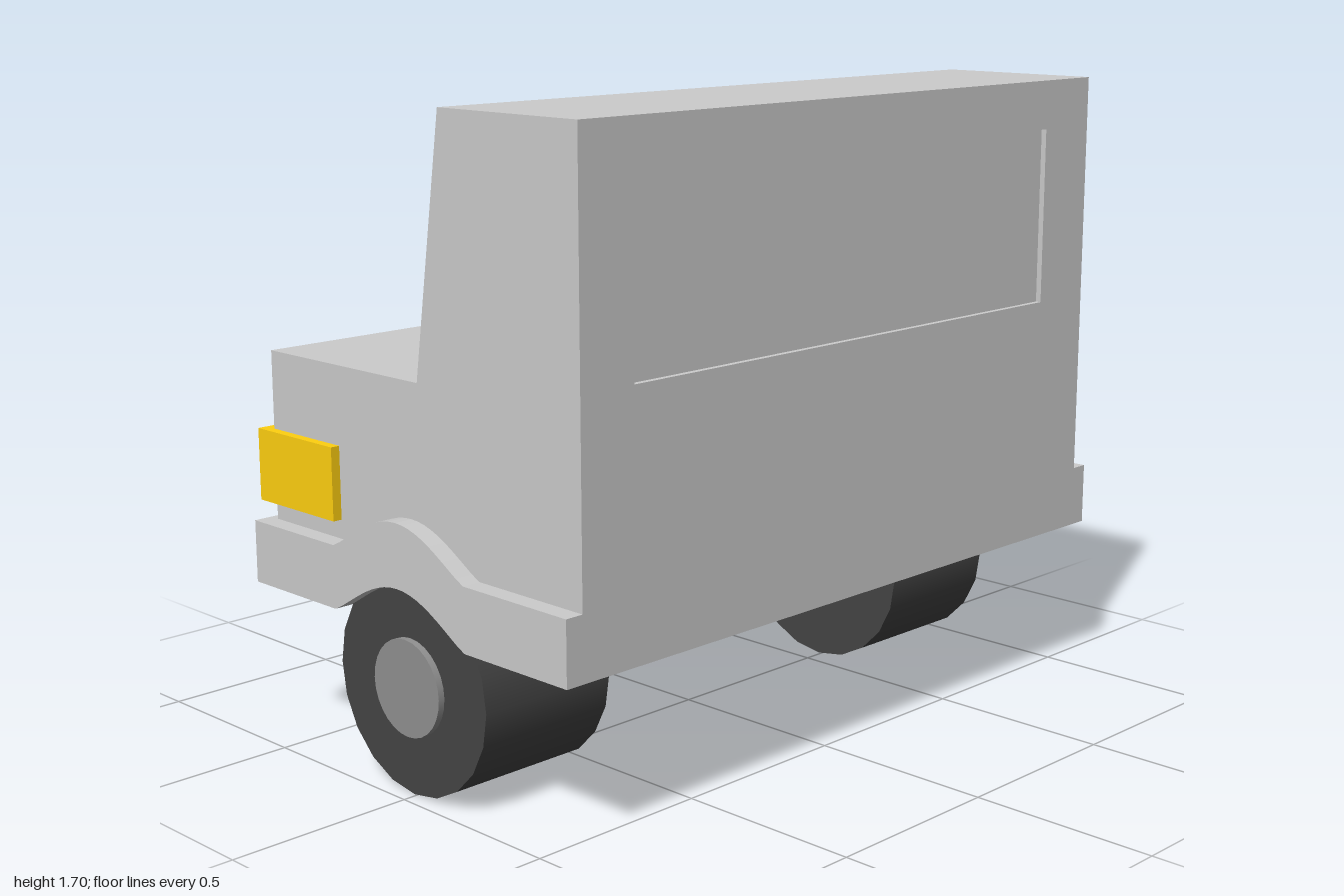
import * as THREE from 'three';

const mat = (color) => new THREE.MeshStandardMaterial({ color });

export function createModel() {
  const model = new THREE.Group();
  const grey = mat(0xcccccc), amber = mat(0xffd010), rubber = mat(0x444444), steel = mat(0x909090);

  const add = (name, geometry, material = grey) => {
    const mesh = new THREE.Mesh(geometry, material);
    mesh.name = name;
    model.add(mesh);
    return mesh;
  };
  const box = (name, [x0, x1], [y0, y1], [z0, z1], material) =>
    add(name, new THREE.BoxGeometry(x1 - x0, y1 - y0, z1 - z0), material)
      .position.set((x0 + x1) / 2, (y0 + y1) / 2, (z0 + z1) / 2);

  // Side profile given as [z, y], extruded across x
  const across = (points, x0, x1, hole) => {
    const flip = (list) => list.map(([z, y]) => new THREE.Vector2(-z, y));
    const shape = new THREE.Shape(flip(points));
    if (hole) shape.holes.push(new THREE.Path(flip(hole)));
    return new THREE.ExtrudeGeometry(shape, { depth: x1 - x0, bevelEnabled: false })
      .rotateY(Math.PI / 2).translate(x0, 0, 0);
  };
  // Rectangle in x and y with a window hole, extruded a little along z
  const rect = (x0, x1, y0, y1) =>
    [[x0, y0], [x1, y0], [x1, y1], [x0, y1]].map(([x, y]) => new THREE.Vector2(x, y));
  const framed = (y0, depth) => {
    const shape = new THREE.Shape(rect(-0.91, 0.91, y0, 1.7));
    shape.holes.push(new THREE.Path(rect(-0.785, 0.76, 1.1, 1.57)));
    return new THREE.ExtrudeGeometry(shape, { depth, bevelEnabled: false });
  };

  // Cab core, whose faces form the sunken windows
  const inset = 0.015;
  const profile = (d) => [
    [0.6 - d, 0.6], [0.6 - d, 1.7], [0.13 + d, 1.7], [0.03 + d, 1.045], [-0.56, 1.045], [-0.56, 0.6],
  ];
  add('cabCore', across(profile(inset), -0.91, 0.91));

  // Side panels with window openings
  const sideWindow = [[0.545, 1.57], [0.165, 1.57], [0.095, 1.1], [0.545, 1.1]];
  add('leftPanel', across(profile(0), 0.91, 0.95, sideWindow));
  add('rightPanel', across(profile(0), -0.95, -0.91, sideWindow));

  // Flat end panel and sloped panel, each with a wide window opening
  add('frontPanel', framed(0.6, inset).translate(0, 0, 0.6 - inset));
  const sloped = framed(1.045, inset);
  const p = sloped.attributes.position;
  for (let i = 0; i < p.count; i++) {
    p.setZ(i, p.getZ(i) + 0.03 + (p.getY(i) - 1.045) * (0.1 / 0.655));
  }
  sloped.computeVertexNormals();
  add('slopedPanel', sloped);

  // Skirt with wheel arches running right across
  const arch = [];
  for (let i = 0; i <= 20; i++) {
    const t = i / 10 - 1;
    const rise = 0.105 * Math.pow(Math.cos(t * Math.PI / 2), 1.15);
    arch.push([-0.005 - t * 0.25, rise]);
  }
  const raised = (y) => arch.map(([z, h]) => [z, y + h]);
  add('skirt', across([
    [0.6, 0.6], ...raised(0.6), [-0.59, 0.6],
    [-0.59, 0.435], ...raised(0.435).reverse(), [0.6, 0.435],
  ], -1, 1));

  // Wheels and lamps, mirrored
  for (const [side, s] of [['left', 1], ['right', -1]]) {
    const wheel = new THREE.Group();
    wheel.name = side + 'Wheel';
    const parts = [['tyre', 0.28, 0.4, 20, rubber], ['hub', 0.125, 0.435, 28, steel]];
    for (const [name, r, w, n, m] of parts) {
      const mesh = new THREE.Mesh(new THREE.CylinderGeometry(r, r, w, n).rotateZ(Math.PI / 2), m);
      mesh.name = name;
      wheel.add(mesh);
    }
    wheel.position.set(s * 0.76, 0.281, -0.008);
    model.add(wheel);

    const span = (a, b) => (s > 0 ? [a, b] : [-b, -a]);
    box(side + 'CornerLamp', span(0.605, 0.975), [0.65, 0.84], [-0.595, -0.56], amber);
    box(side + 'CornerLampSide', span(0.95, 0.975), [0.65, 0.84], [-0.56, -0.285], amber);
    add(side + 'RoundLamp', new THREE.CylinderGeometry(0.075, 0.075, 0.03, 24).rotateX(Math.PI / 2), amber)
      .position.set(s * 0.463, 0.745, -0.575);
  }

  // Small plate between the lamps
  box('plate', [-0.19, 0.185], [0.65, 0.76], [-0.595, -0.56], grey);

  return model;
}
